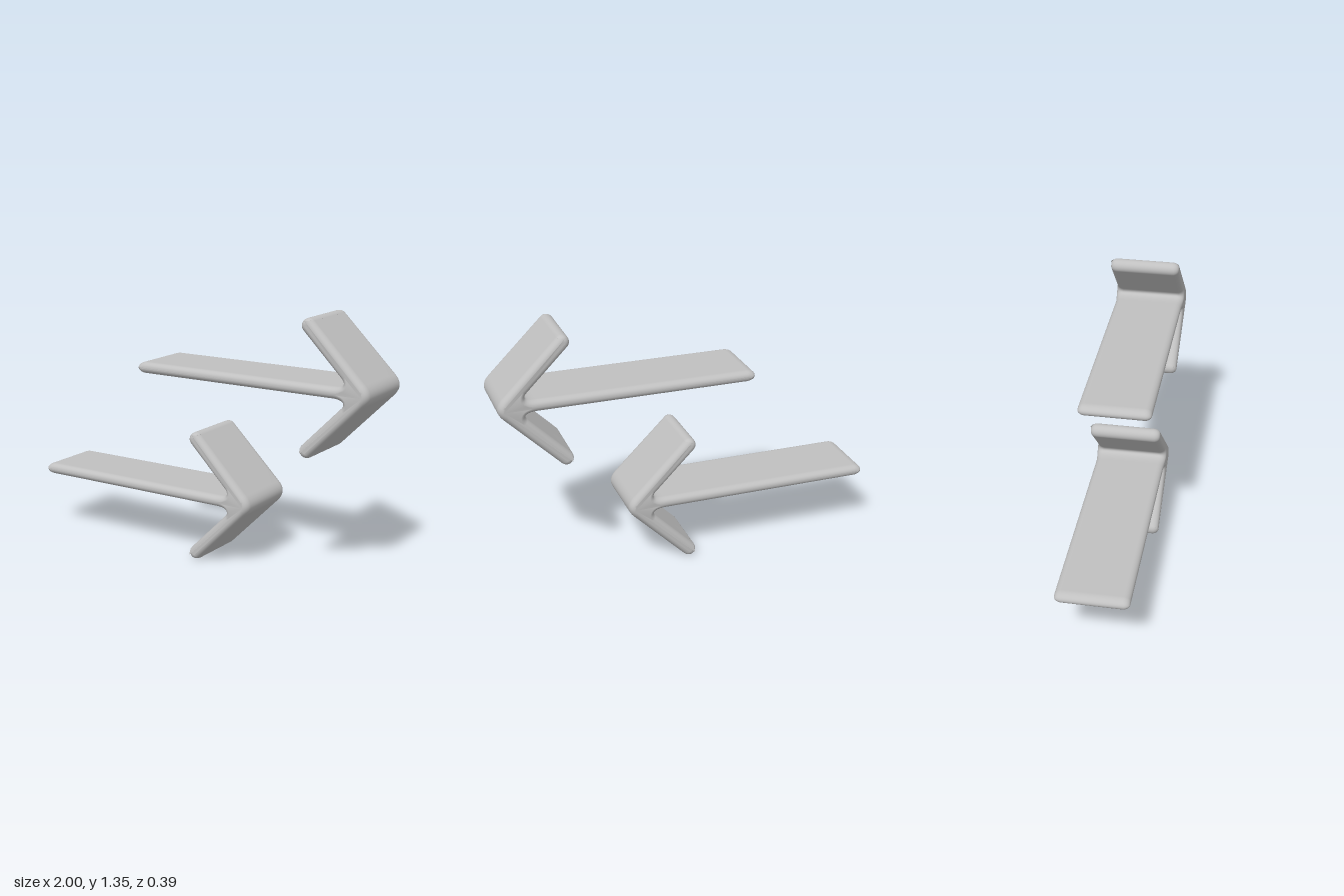
import * as THREE from 'three';
import { mergeVertices } from 'three/addons/utils/BufferGeometryUtils.js';

const HALF_WIDTH = 0.187, BEVEL = 0.027, BEVEL_DEPTH = 0.036;

// Side outline of one arrow pointing along +x, with its axis on y = 0
function arrowOutline() {
  const s = new THREE.Shape();
  const q = Math.PI / 4;
  s.moveTo(-0.3, -0.03);
  s.lineTo(0.80, -0.03);
  s.quadraticCurveTo(0.89, -0.03, 0.855, -0.07); // lower fillet
  s.lineTo(0.641, -0.284);
  s.absarc(0.667, -0.31, 0.037, 3 * q, 7 * q, false); // lower arm end
  s.lineTo(0.975, -0.054);
  s.quadraticCurveTo(1.029, 0, 0.975, 0.054); // rounded tip
  s.lineTo(0.693, 0.336);
  s.absarc(0.667, 0.31, 0.037, q, 5 * q, false); // upper arm end
  s.lineTo(0.855, 0.07);
  s.quadraticCurveTo(0.89, 0.03, 0.80, 0.03); // upper fillet
  s.lineTo(-0.3, 0.03);
  s.absellipse(-0.3, 0, 0.047, 0.03, Math.PI / 2, 1.5 * Math.PI, false); // tail end
  return s;
}

function arrowGeometry() {
  const depth = 2 * (HALF_WIDTH - BEVEL_DEPTH);
  let geo = new THREE.ExtrudeGeometry(arrowOutline(), {
    depth, curveSegments: 10, bevelEnabled: true, bevelSegments: 6,
    bevelSize: BEVEL, bevelOffset: -BEVEL, bevelThickness: BEVEL_DEPTH,
  });
  geo.translate(0, 0, -depth / 2);

  // Slight sideways swelling where the arms meet the shaft
  const p = geo.attributes.position;
  for (let i = 0; i < p.count; i++) {
    const d = Math.hypot(p.getX(i) - 0.93, p.getY(i)) / 0.08;
    p.setZ(i, p.getZ(i) * (1 + 0.065 * Math.exp(-d * d)));
  }

  // Weld so the whole surface shades smoothly
  geo.deleteAttribute('normal');
  geo.deleteAttribute('uv');
  geo.clearGroups();
  geo = mergeVertices(geo, 1e-4);
  geo.computeVertexNormals();
  return geo;
}

export function createModel() {
  const model = new THREE.Group();
  model.name = 'twoArrows';
  const grey = new THREE.MeshStandardMaterial({ color: 0xc0c0c0 });
  grey.name = 'light grey';
  const geo = arrowGeometry();

  // Upper arrow leads, lower arrow trails behind it
  for (const [name, x, y] of [['upperArrow', 0, 1.002], ['lowerArrow', -0.653, 0.347]]) {
    const arrow = new THREE.Mesh(geo, grey);
    arrow.name = name;
    arrow.position.set(x, y, 0);
    model.add(arrow);
  }
  return model;
}
